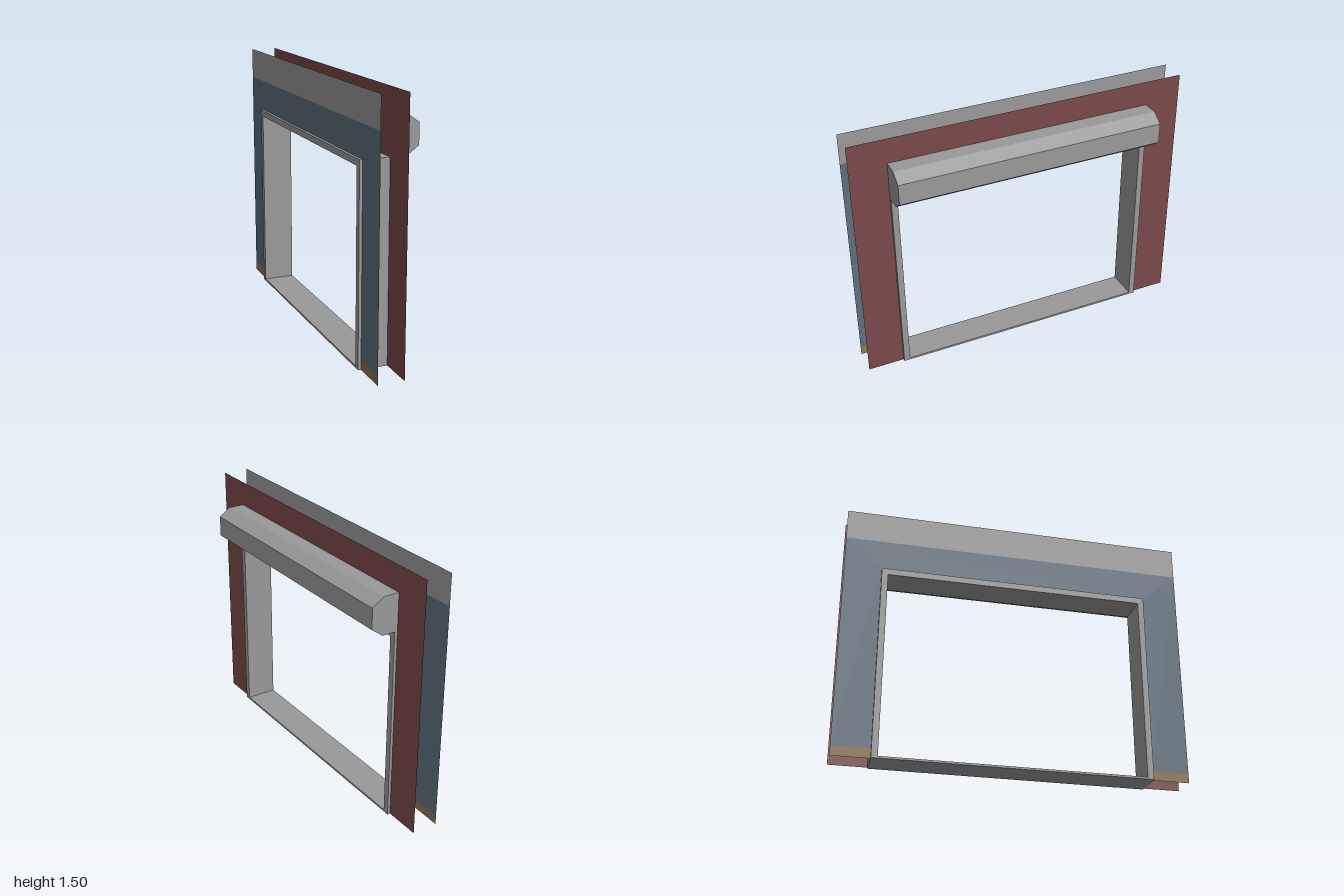
import * as THREE from 'three';

const paint = (name, color) => {
  const m = new THREE.MeshStandardMaterial({ color, side: THREE.DoubleSide });
  m.name = name;
  return m;
};

const HALF = 0.786, TOP = 1.137; // outer size of the lining
const FRONT = 0.003, BACK = -0.149; // wall faces

const polygon = (pts) => new THREE.Shape(pts.map(([a, b]) => new THREE.Vector2(a, b)));
const rect = (w0, w1, y0, y1) => polygon([[w0, y0], [w1, y0], [w1, y1], [w0, y1]]);

// Arch-shaped sheet around the opening
const arch = (y0, y1) => polygon([
  [-1, y0], [-HALF, y0], [-HALF, TOP], [HALF, TOP], [HALF, y0], [1, y0], [1, y1], [-1, y1],
]);

export function createModel() {
  const grey = paint('grey metal', 0x999999);
  const red = paint('dark red wall', 0x7b4848);
  const blue = paint('slate blue wall', 0x5e6f7d);
  const brown = paint('brown skirting', 0x8f7453);

  const model = new THREE.Group();
  model.name = 'shutterOpening';
  const add = (name, geometry, material) => {
    const mesh = new THREE.Mesh(geometry, material);
    mesh.name = name;
    model.add(mesh);
    return mesh;
  };
  // Flat sheet standing across x
  const sheet = (name, shapes, x, material) =>
    add(name, new THREE.ShapeGeometry(shapes).rotateY(Math.PI / 2).translate(x, 0, 0), material);

  // Two wall faces
  sheet('frontWall', arch(0, 1.5), FRONT, red);
  sheet('backWall', arch(0.055, 1.32), BACK, blue);
  sheet('backWallTop', rect(-1, 1, 1.32, 1.5), BACK, grey);
  sheet('backSkirting', [rect(-1, -HALF, 0, 0.055), rect(HALF, 1, 0, 0.055)], BACK, brown);

  // Lining with jambs, head and thin sill
  const ring = rect(-HALF, HALF, 0, TOP);
  ring.holes.push(rect(-0.75, 0.75, 0.012, 1.1));
  const lining = new THREE.ExtrudeGeometry(ring, { depth: 0.186, bevelEnabled: false });
  add('openingLining', lining.rotateY(Math.PI / 2).translate(-0.166, 0, 0), grey);

  // Chamfered box for the rolled shutter
  const profile = polygon([
    [FRONT, TOP], [0.097, TOP], [0.165, 1.187], [0.165, 1.307], [0.097, 1.354], [FRONT, 1.354],
  ]);
  const box = new THREE.ExtrudeGeometry(profile, { depth: HALF * 2, bevelEnabled: false });
  add('shutterBox', box.translate(0, 0, -HALF), grey);

  return model;
}
